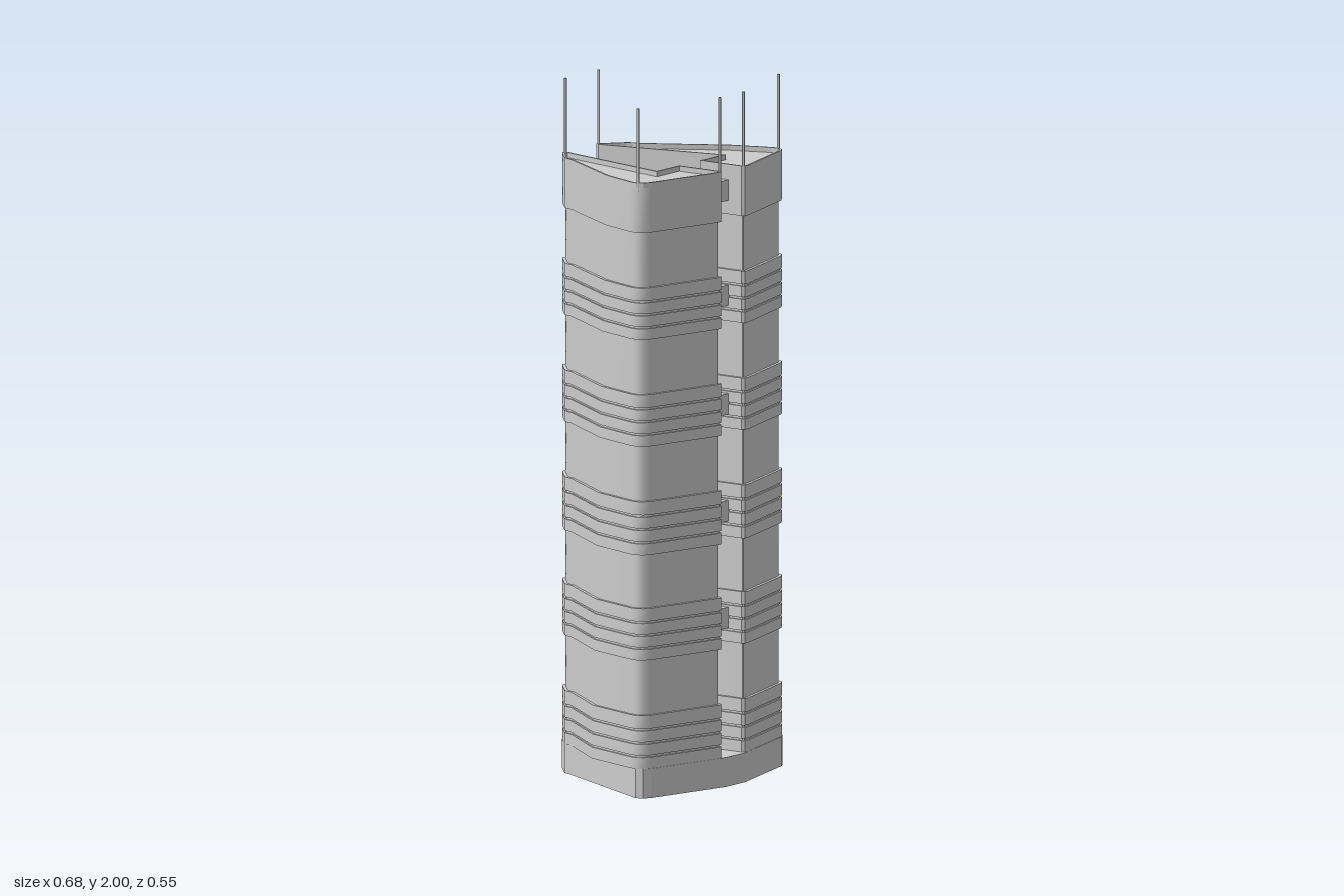
import * as THREE from 'three';
import { toCreasedNormals } from 'three/addons/utils/BufferGeometryUtils.js';

const BASE = 0.085, TOP = 1.785;
const V = (x, z) => new THREE.Vector2(x, -z); // plan point, counter-clockwise from above

// Plan of one tower at height y: the outer bend and inner corner shift as it rises
function plan(y, side, inset = 0) {
  const t = (y - BASE) / (TOP - BASE), mix = (a, b) => a + (b - a) * t;
  const pts = [
    V(0.05, 0.262), V(0.056, 0.27), V(0.07, 0.27),
    V(0.31, 0.208), V(0.329, 0.196), V(0.339, 0.177), V(0.337, 0.155),
    V(mix(0.285, 0.295), mix(-0.02, 0.04)),
    V(0.161, -0.185), V(0.158, -0.205), V(0.148, -0.222),
    V(0.09, -0.274), V(0.08, -0.277), V(0.073, -0.265),
    V(mix(0.085, 0.157), mix(0.05, 0.115)), V(0.05, 0.114),
  ];
  const out = pts.map((p, i) => {
    const a = pts[(i + pts.length - 1) % pts.length], b = pts[(i + 1) % pts.length];
    const d1 = p.clone().sub(a).normalize(), d2 = b.clone().sub(p).normalize();
    const n1 = new THREE.Vector2(-d1.y, d1.x), n2 = new THREE.Vector2(-d2.y, d2.x);
    const k = inset / Math.max(0.4, 1 + n1.dot(n2));
    return p.clone().addScaledVector(n1.add(n2), k);
  });
  if (side < 0) {
    out.forEach((p) => { p.x = -p.x; });
    out.reverse();
  }
  return out;
}

// Closed solid between two heights following the changing plan
function loft(y0, y1, side, inset, steps = 1) {
  const pos = [];
  const put = (p, y) => pos.push(p.x, y, -p.y);
  for (let s = 0; s < steps; s++) {
    const ya = y0 + ((y1 - y0) * s) / steps, yb = y0 + ((y1 - y0) * (s + 1)) / steps;
    const lo = plan(ya, side, inset), hi = plan(yb, side, inset);
    lo.forEach((a, i) => {
      const j = (i + 1) % lo.length;
      put(a, ya); put(lo[j], ya); put(hi[j], yb);
      put(a, ya); put(hi[j], yb); put(hi[i], yb);
    });
  }
  for (const [y, order] of [[y0, [0, 2, 1]], [y1, [0, 1, 2]]]) {
    const ring = plan(y, side, inset);
    for (const tri of THREE.ShapeUtils.triangulateShape(ring, [])) {
      order.forEach((k) => put(ring[tri[k]], y));
    }
  }
  const geo = new THREE.BufferGeometry();
  geo.setAttribute('position', new THREE.Float32BufferAttribute(pos, 3));
  geo.computeVertexNormals();
  return toCreasedNormals(geo, 0.6);
}

// Upright prism from a plan shape
function prism(shape, height, y) {
  const geo = new THREE.ExtrudeGeometry(shape, { depth: height, bevelEnabled: false });
  return geo.rotateX(-Math.PI / 2).translate(0, y, 0);
}

export function createModel() {
  const model = new THREE.Group();
  const mat = new THREE.MeshStandardMaterial({ color: 0xcccccc });
  const add = (parent, name, geo) => {
    const mesh = new THREE.Mesh(geo, mat);
    mesh.name = name;
    parent.add(mesh);
    return mesh;
  };
  const box = (parent, name, size, at) =>
    add(parent, name, new THREE.BoxGeometry(...size)).position.set(...at);

  // Shared plinth joining both towers at the front, cut back below the outer walls
  const half = [
    V(0.045, 0.277), V(0.31, 0.21), V(0.332, 0.196), V(0.339, 0.175),
    V(0.161, -0.185), V(0.148, -0.222), V(0.09, -0.275), V(0.075, -0.27),
    V(0.125, -0.015), V(0.045, 0.107),
  ];
  const mirrored = half.map((p) => new THREE.Vector2(-p.x, p.y)).reverse();
  add(model, 'plinth', prism(new THREE.Shape([...half, ...mirrored]), BASE, 0));

  const bands = [[BASE, 0.24], [0.4, 0.55], [0.705, 0.86], [1.02, 1.17], [1.33, 1.48]];
  for (const side of [1, -1]) {
    const tower = new THREE.Group();
    tower.name = side > 0 ? 'leftTower' : 'rightTower';
    model.add(tower);

    add(tower, 'towerShaft', loft(BASE, 1.7, side, 0.009, 10));

    // Projecting bands, each split by three thin slots
    for (const [y0, y1] of bands) {
      const step = (y1 - y0) / 4;
      for (let i = 0; i < 4; i++) {
        const end = y0 + (i + 1) * step - (i < 3 ? 0.006 : 0);
        add(tower, 'bandSlab', loft(y0 + i * step, end, side, 0));
      }
      add(tower, 'bandCore', loft(y0, y1, side, 0.005));
    }

    // Plain crown with a thin parapet around the roof
    add(tower, 'crown', loft(1.64, 1.77, side, 0));
    const rim = new THREE.Shape(plan(1.77, side));
    rim.holes.push(new THREE.Path(plan(1.77, side, 0.006)));
    add(tower, 'parapet', prism(rim, TOP - 1.77, 1.77));

    // Corner masts
    for (const [x, z] of [[0.334, 0.18], [0.08, -0.27], [0.056, 0.264]]) {
      const mast = new THREE.CylinderGeometry(0.004, 0.004, 0.24, 8);
      add(tower, 'mast', mast).position.set(side * x, 1.88, z);
    }
  }

  // Footbridges across the gap
  for (const y of [0.47, 0.78, 1.09, 1.405, 1.71]) {
    box(model, 'footbridge', [0.13, 0.06, 0.06], [0, y, 0.185]);
  }
  return model;
}
